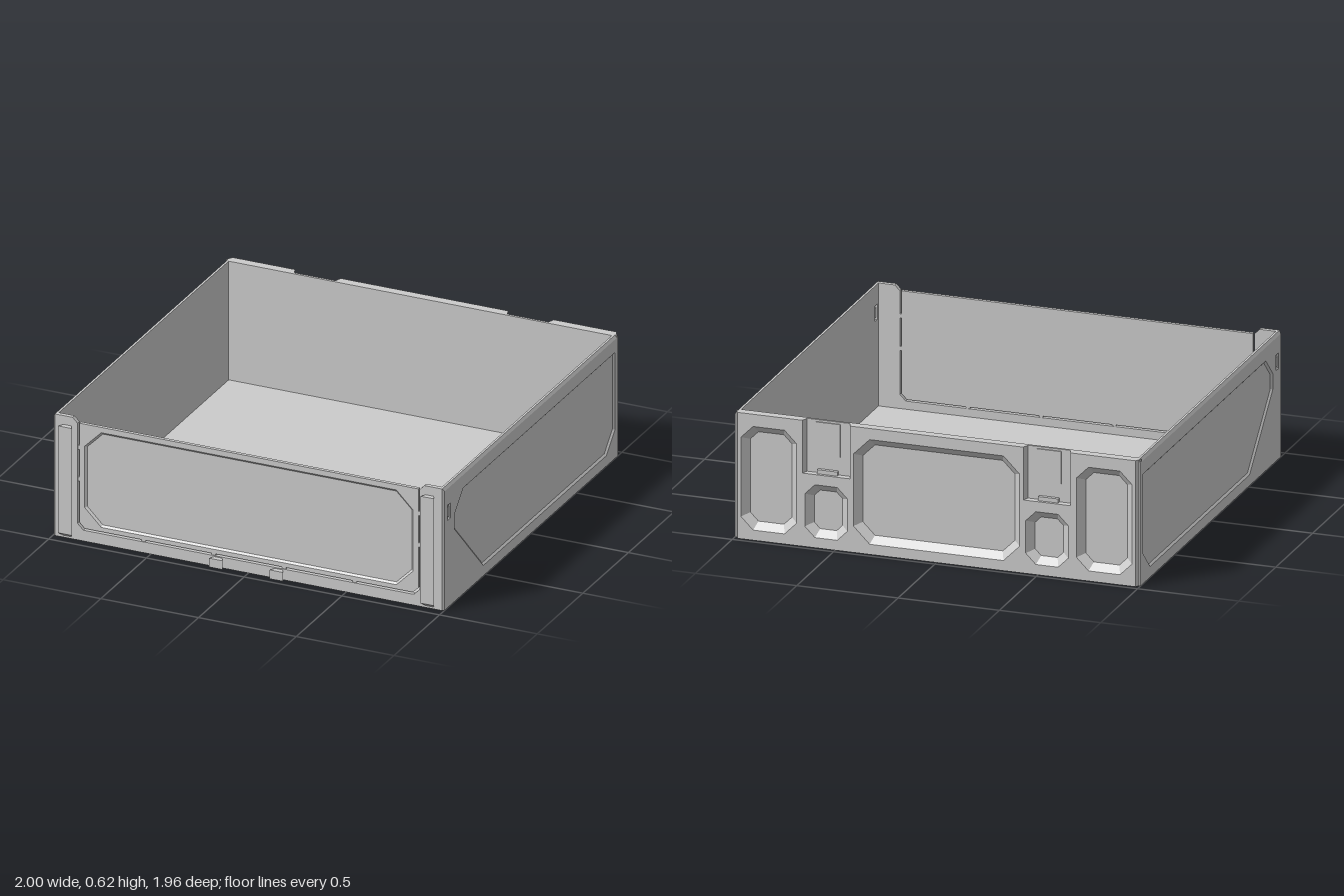
import * as THREE from 'three';
import { mergeGeometries } from 'three/addons/utils/BufferGeometryUtils.js';

const H = 0.62;
const FRONT = 0.952, BACK = -0.978;
const mat = new THREE.MeshStandardMaterial({ color: 0xcccccc, flatShading: true });

const vec = (pts) => pts.map(([x, y]) => new THREE.Vector2(x, y));
const mirror = (pts) => pts.map(([x, y]) => [-x, y]).reverse();
const rect = (x0, x1, y0, y1) => [[x0, y0], [x1, y0], [x1, y1], [x0, y1]];
const octagon = (x0, x1, y0, y1, c) => [
  [x0 + c, y0], [x1 - c, y0], [x1, y0 + c], [x1, y1 - c],
  [x1 - c, y1], [x0 + c, y1], [x0, y1 - c], [x0, y0 + c],
];

// Shrink a convex counter-clockwise polygon by d
function inset(pts, d) {
  const n = pts.length;
  return pts.map((p, i) => {
    const a = pts[(i + n - 1) % n], b = pts[(i + 1) % n];
    const u = new THREE.Vector2(p[0] - a[0], p[1] - a[1]).normalize();
    const v = new THREE.Vector2(b[0] - p[0], b[1] - p[1]).normalize();
    const k = d / (1 + u.dot(v));
    return [p[0] - (u.y + v.y) * k, p[1] + (u.x + v.x) * k];
  });
}

// Flat face with holes, at height z
function face(outline, holes, z, flip) {
  const shape = new THREE.Shape(vec(outline));
  holes.forEach((h) => shape.holes.push(new THREE.Path(vec(h))));
  const g = new THREE.ShapeGeometry(shape).translate(0, 0, z);
  if (flip) g.index.array.reverse();
  const out = g.toNonIndexed();
  out.deleteAttribute('uv');
  out.deleteAttribute('normal');
  return out;
}

// Band of quads joining a back loop to a front loop
function band(front, zf, back, zb) {
  const pos = [];
  front.forEach((p, i) => {
    const j = (i + 1) % front.length;
    const [a, b, c, d] = [[...back[i], zb], [...back[j], zb], [...front[j], zf], [...p, zf]];
    pos.push(...a, ...b, ...c, ...a, ...c, ...d);
  });
  return new THREE.BufferGeometry().setAttribute('position', new THREE.Float32BufferAttribute(pos, 3));
}

// Slab from z0 to z1 with tapering openings; frontOutline may differ to chamfer the rim
function slab(outline, holes, z0, z1, taper = 0, frontOutline = outline) {
  const inner = holes.map((h) => (taper ? inset(h, taper) : h));
  const parts = [face(frontOutline, holes, z1, false), face(outline, inner, z0, true), band(frontOutline, z1, outline, z0)];
  holes.forEach((h, i) => parts.push(band([...h].reverse(), z1, [...inner[i]].reverse(), z0)));
  const g = mergeGeometries(parts);
  g.computeVertexNormals();
  return g;
}

function add(parent, name, geometry, x = 0, y = 0, z = 0) {
  const m = new THREE.Mesh(geometry, mat);
  m.name = name;
  m.position.set(x, y, z);
  parent.add(m);
  return m;
}
const box = (parent, name, w, h, d, x, y, z) => add(parent, name, new THREE.BoxGeometry(w, h, d), x, y, z);

// Dovetail bar along y, wider at the outside, with a chamfered lower end
function dovetail(wOut, wIn, depth, height, chamfer) {
  const shape = new THREE.Shape(vec([[-wIn / 2, 0], [wIn / 2, 0], [wOut / 2, -depth], [-wOut / 2, -depth]].reverse()));
  const g = new THREE.ExtrudeGeometry(shape, { depth: height, bevelEnabled: false });
  g.rotateX(-Math.PI / 2);
  const p = g.attributes.position;
  for (let i = 0; i < p.count; i++) {
    if (p.getY(i) < 1e-4 && p.getZ(i) > depth / 2) p.setY(i, chamfer);
  }
  g.computeVertexNormals();
  return g;
}

function sideWall(side) {
  const group = new THREE.Group();
  group.name = side > 0 ? 'leftWall' : 'rightWall';
  const fit = (pts) => (side > 0 ? pts : mirror(pts));
  // local x runs from the front of the bin to its back
  const outline = fit(rect(-FRONT, 0.96, 0, H));
  const rim = fit(rect(-FRONT + 0.008, 0.96, 0, H - 0.014));
  const slot = fit(rect(-0.915, -0.88, 0.445, 0.522));
  const panel = fit([[-0.52, 0.053], [0.83, 0.053], [0.925, 0.147], [0.925, 0.54], [-0.74, 0.54], [-0.835, 0.447], [-0.835, 0.368]]);
  add(group, 'innerSkin', slab(outline, [slot], 0.98, 0.991));
  add(group, 'recessedFrame', slab(outline, [slot, panel], 0.991, 1, 0.01, rim));
  box(group, 'slotTongue', 0.016, 0.05, 0.012, -0.8975 * side, 0.4835, 0.99);
  group.rotation.y = side * Math.PI / 2;
  return group;
}

function backWall() {
  const group = new THREE.Group();
  group.name = 'backWall';
  const [zi, zm, zo] = [0.932, 0.945, -BACK];
  add(group, 'innerSkin', slab(rect(-0.99, 0.99, 0, H), [], zi, zm));
  // outer layer, notched from above for two sockets
  const notched = (e, s) => [
    [-e, 0], [e, 0], [e, H], [0.65 + s, H], [0.65 + s, 0.36], [0.44 - s, 0.36], [0.44 - s, H],
    [-0.44 + s, H], [-0.44 + s, 0.36], [-0.65 - s, 0.36], [-0.65 - s, H], [-e, H],
  ];
  const outer = octagon(0.69, 0.965, 0.05, 0.56, 0.06);
  const small = octagon(0.44, 0.65, 0.05, 0.31, 0.05);
  const pockets = [octagon(-0.41, 0.41, 0.05, 0.565, 0.08), outer, small, mirror(outer), mirror(small)];
  add(group, 'pocketLayer', slab(notched(1, 0), pockets, zm, zo, 0.035, notched(0.982, 0.012)));
  for (const s of [-1, 1]) {
    box(group, 'socketCatch', 0.1, 0.02, 0.018, s * 0.545, 0.37, zm + 0.009);
    box(group, 'socketTongue', 0.12, 0.16, 0.006, s * 0.545, 0.53, zm + 0.003);
  }
  group.rotation.y = Math.PI;
  return group;
}

function frontWall() {
  const group = new THREE.Group();
  group.name = 'frontWall';
  // U-shaped frame with corner posts
  const frame = [
    [-0.99, 0], [0.99, 0], [0.99, H], [0.9, H], [0.875, 0.595], [0.875, 0.085], [0.845, 0.055],
    [-0.845, 0.055], [-0.875, 0.085], [-0.875, 0.595], [-0.9, H], [-0.99, H],
  ];
  add(group, 'frame', slab(frame, [], 0.93, FRONT));
  // door panel with a recessed field
  const door = [[-0.84, 0.063], [0.84, 0.063], [0.867, 0.09], [0.867, 0.595], [-0.867, 0.595], [-0.867, 0.09]];
  add(group, 'doorSkin', slab(door, [], 0.93, 0.939));
  add(group, 'doorFrame', slab(door, [octagon(-0.84, 0.84, 0.085, 0.568, 0.085)], 0.939, 0.948, 0.01));
  // bridges across the gap around the door
  for (const x of [-0.54, -0.18, 0.18, 0.54]) box(group, 'doorBridge', 0.02, 0.012, 0.015, x, 0.059, 0.94);
  for (const s of [-1, 1]) {
    for (const y of [0.31, 0.47]) box(group, 'doorBridge', 0.012, 0.02, 0.015, s * 0.871, y, 0.94);
    add(group, 'dovetailRail', dovetail(0.07, 0.04, 0.026, 0.565, 0.02), s * 0.927, 0.01, FRONT);
    add(group, 'dovetailTab', dovetail(0.07, 0.04, 0.026, 0.045, 0), s * 0.155, 0.005, FRONT);
  }
  return group;
}

export function createModel() {
  const bin = new THREE.Group();
  bin.name = 'storageBin';
  box(bin, 'floor', 1.97, 0.015, 1.88, 0, 0.0075, 0);
  bin.add(sideWall(1), sideWall(-1), backWall(), frontWall());
  return bin;
}
